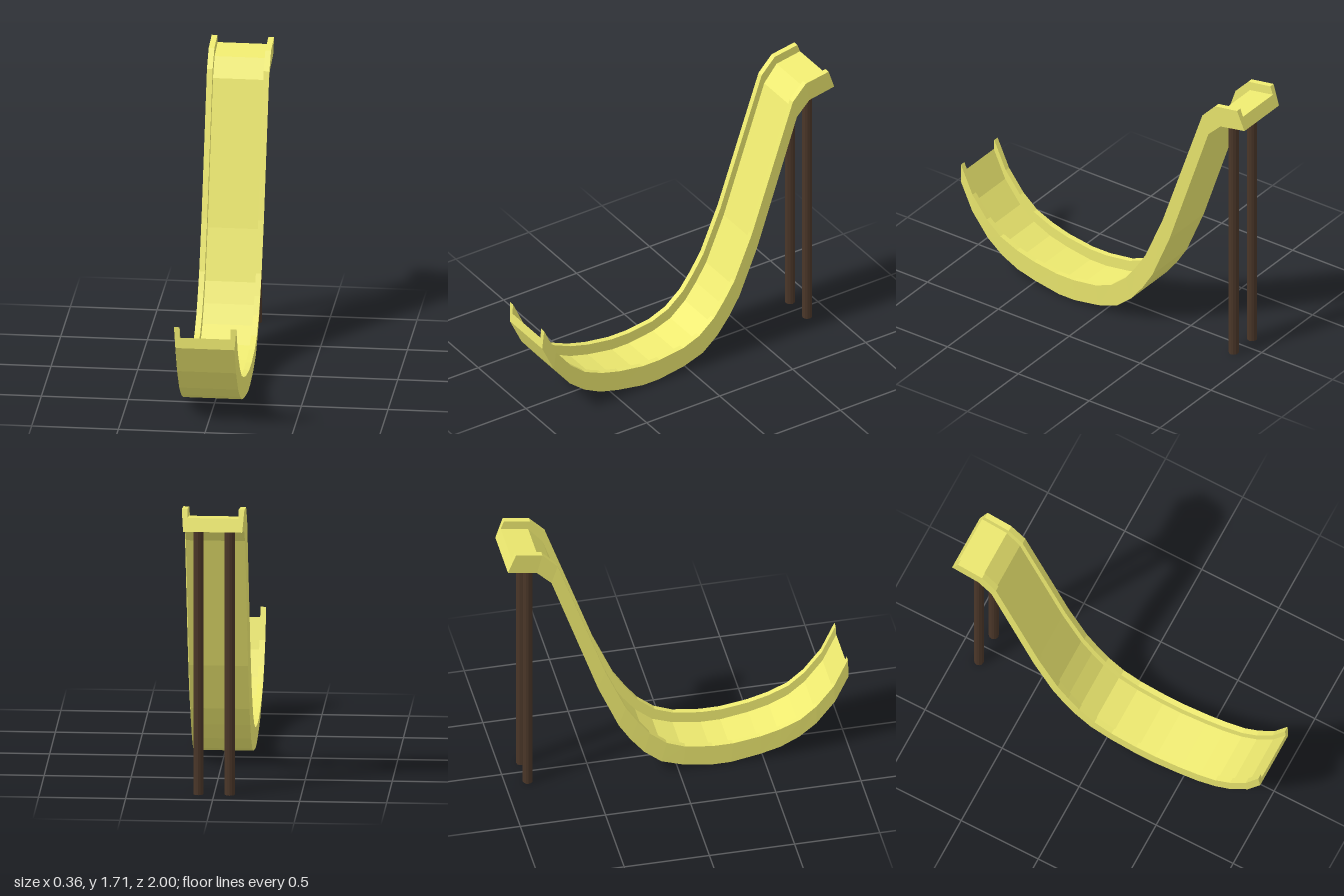
import * as THREE from 'three';

// Stations along the slide: underside z, y, then rim z, y
const STATIONS = [
  [1.0, 0.51, 0.993, 0.635], [0.92, 0.34, 0.912, 0.46], [0.81, 0.20, 0.81, 0.33],
  [0.71, 0.12, 0.715, 0.25], [0.60, 0.065, 0.60, 0.20], [0.48, 0.033, 0.48, 0.167],
  [0.31, 0.003, 0.32, 0.143], [0.20, 0.003, 0.20, 0.143], [0.03, 0.03, 0.04, 0.165],
  [-0.10, 0.075, -0.07, 0.21], [-0.20, 0.16, -0.17, 0.295], [-0.28, 0.262, -0.24, 0.39],
  [-0.35, 0.375, -0.31, 0.50], [-0.47, 0.66, -0.43, 0.78], [-0.745, 1.47, -0.71, 1.59],
  [-0.83, 1.555, -0.80, 1.685], [-1.0, 1.585, -0.955, 1.71],
];

// U-shaped section: x and height fraction between underside and rim
function section(floor) {
  return [[-0.17, 0], [0.17, 0], [0.18, 1], [0.147, 1],
    [0.147, floor], [-0.147, floor], [-0.147, 1], [-0.18, 1]];
}

function channelGeometry() {
  const n = 8, last = STATIONS.length - 1;
  const positions = [], index = [];
  STATIONS.forEach(([bz, by, rz, ry], i) => {
    for (const [x, t] of section(i >= last - 1 ? 0.6 : 0.5)) {
      positions.push(x, by + (ry - by) * t, bz + (rz - bz) * t);
    }
  });
  const quad = (a, b, c, d) => index.push(a, b, c, a, c, d);
  for (let i = 0; i < last; i++) {
    for (let j = 0; j < n; j++) {
      const k = (j + 1) % n;
      quad(i * n + j, (i + 1) * n + j, (i + 1) * n + k, i * n + k);
    }
  }
  // End caps: floor slab and two side walls
  for (const [a, b, c, d] of [[0, 1, 4, 5], [1, 2, 3, 4], [0, 5, 6, 7]]) {
    quad(a, b, c, d);
    const o = last * n;
    quad(o + d, o + c, o + b, o + a);
  }
  const geometry = new THREE.BufferGeometry();
  geometry.setAttribute('position', new THREE.Float32BufferAttribute(positions, 3));
  geometry.setIndex(index);
  const flat = geometry.toNonIndexed();
  flat.computeVertexNormals();
  return flat;
}

export function createModel() {
  const model = new THREE.Group();
  model.name = 'slide';

  // Chute with raised side walls
  const chute = new THREE.Mesh(channelGeometry(),
    new THREE.MeshStandardMaterial({ color: 0xeeea70, flatShading: true }));
  chute.name = 'chute';
  model.add(chute);

  // Two posts under the top platform
  const wood = new THREE.MeshStandardMaterial({ color: 0x4a3628, flatShading: true });
  const postHeight = 1.59;
  const postGeometry = new THREE.CylinderGeometry(0.029, 0.029, postHeight, 12);
  for (const side of [1, -1]) {
    const post = new THREE.Mesh(postGeometry, wood);
    post.name = side > 0 ? 'leftPost' : 'rightPost';
    post.position.set(side * 0.09, postHeight / 2, -0.867);
    model.add(post);
  }
  return model;
}
